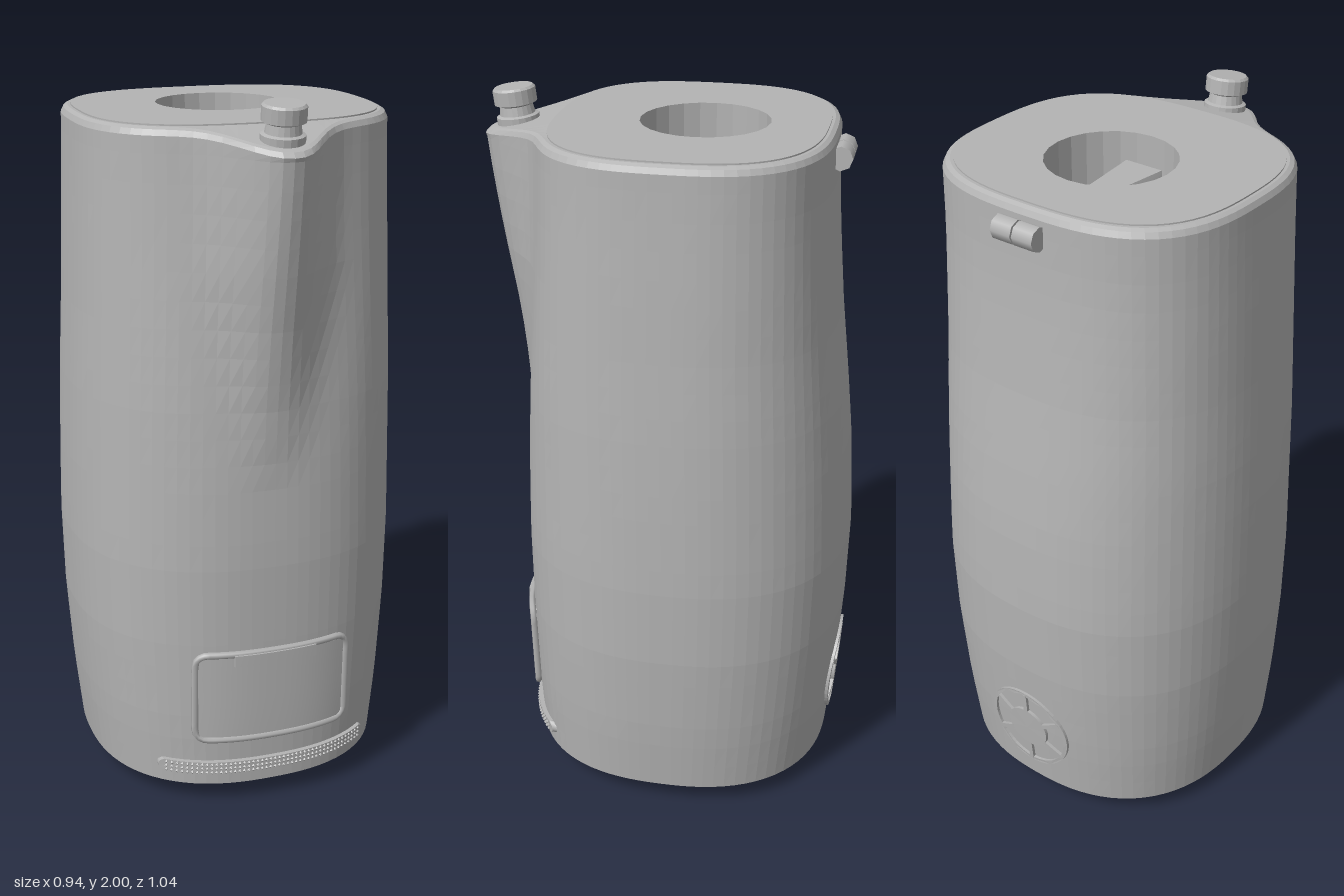
import * as THREE from 'three';

// Body sections: height, half width, front z, back z, spout reach
const KEYS = [
  [0.06, 0.43, 0.40, -0.475, 0], [0.25, 0.45, 0.41, -0.495, 0],
  [0.5, 0.467, 0.415, -0.513, 0], [0.75, 0.472, 0.417, -0.52, 0],
  [1.0, 0.467, 0.41, -0.508, 0], [1.2, 0.46, 0.397, -0.488, 0.026],
  [1.4, 0.45, 0.38, -0.465, 0.07], [1.6, 0.442, 0.362, -0.448, 0.123],
  [1.75, 0.435, 0.352, -0.438, 0.156], [1.89, 0.43, 0.345, -0.435, 0.18],
];
const SIDES = 88;
const { lerp, clamp } = THREE.MathUtils;

function section(y) {
  let i = 0;
  while (i < KEYS.length - 2 && y > KEYS[i + 1][0]) i++;
  const p = KEYS[i], q = KEYS[i + 1], t = clamp((y - p[0]) / (q[0] - p[0]), 0, 1);
  const [, a, front, back, spout] = p.map((v, k) => lerp(v, q[k], t));
  const h = clamp((y - 1) / 0.89, 0, 1);
  return { a, b: (front - back) / 2, c: (front + back) / 2, n: lerp(2.4, 2.8, h), spout, w: lerp(0.075, 0.13, Math.min(1, h * 1.6)) };
}

// Rounded-square loop with the spout pushed forward; inset shrinks it
function loop(y, inset = 0, spoutScale = 1, dip = 0) {
  const s = section(Math.min(y, 1.89)), pts = [];
  const a = s.a - inset, b = s.b - inset;
  for (let j = 0; j < SIDES; j++) {
    const t = (j / SIDES) * Math.PI * 2, cx = Math.cos(t), sz = Math.sin(t);
    const r = (Math.abs(cx / a) ** s.n + Math.abs(sz / b) ** s.n) ** (-1 / s.n);
    const x = r * cx, g = sz > 0 ? Math.exp(-(Math.abs(x / s.w) ** 2.3)) : 0;
    pts.push(new THREE.Vector3(x, y - dip * g, s.c + r * sz + s.spout * spoutScale * g));
  }
  return pts;
}

// Faceted skin through a stack of loops
function skin(loops) {
  const pos = [];
  const add = (...v) => v.forEach((p) => pos.push(p.x, p.y, p.z));
  for (let i = 0; i < loops.length - 1; i++) {
    for (let j = 0; j < SIDES; j++) {
      const k = (j + 1) % SIDES, l = loops[i], u = loops[i + 1];
      add(l[j], u[j], l[k], l[k], u[j], u[k]);
    }
  }
  const geo = new THREE.BufferGeometry();
  geo.setAttribute('position', new THREE.Float32BufferAttribute(pos, 3));
  geo.computeVertexNormals();
  return geo;
}

function surfaceZ(x, y, side) {
  const s = section(y);
  return s.c + side * s.b * (1 - Math.abs(x / s.a) ** s.n) ** (1 / s.n);
}

// Bend a flat part (z = height above the skin) onto the front (1) or back (-1)
function conform(geo, side) {
  const p = geo.attributes.position;
  for (let i = 0; i < p.count; i++) {
    const x = p.getX(i) * side, y = p.getY(i);
    p.setXYZ(i, x, y, surfaceZ(x, y, side) + side * p.getZ(i));
  }
  geo.computeVertexNormals();
  return geo;
}

function roundedRect(w, h, r) {
  const s = new THREE.Shape(), x = w / 2, y = h / 2;
  s.absarc(x - r, y - r, r, 0, Math.PI / 2);
  s.absarc(-x + r, y - r, r, Math.PI / 2, Math.PI);
  s.absarc(-x + r, -y + r, r, Math.PI, Math.PI * 1.5);
  s.absarc(x - r, -y + r, r, Math.PI * 1.5, Math.PI * 2);
  s.closePath();
  return s;
}

const extrude = (shape, depth, curveSegments = 8) =>
  new THREE.ExtrudeGeometry(shape, { depth, bevelEnabled: false, curveSegments });

export function createModel() {
  const model = new THREE.Group();
  const grey = new THREE.MeshStandardMaterial({ color: 0xb4b4b4, side: THREE.DoubleSide });
  grey.name = 'matte grey';
  const add = (name, geo, x = 0, y = 0, z = 0) => {
    const mesh = new THREE.Mesh(geo, grey);
    mesh.name = name;
    mesh.position.set(x, y, z);
    model.add(mesh);
    return mesh;
  };

  // Body with bottom cap, spout and rolled rim
  const centre = Array.from({ length: SIDES }, () => new THREE.Vector3(0, 0.06, -0.04));
  const loops = [centre, loop(0.06)];
  for (let i = 1; i <= 24; i++) loops.push(loop(0.06 + (1.8 * i) / 24));
  const lidEdge = loop(1.926, 0.026, 0);
  loops.push(loop(1.905, 0, 1, 0.035), loop(1.92, 0.007, 0.97, 0.037), loop(1.926, 0.018, 0.93, 0.037), lidEdge);
  add('body', skin(loops));

  // Lid with round opening
  const lid = new THREE.Shape(lidEdge.map((p) => new THREE.Vector2(p.x, -p.z)));
  const hole = new THREE.Path();
  hole.absarc(0, 0.08, 0.175, 0, Math.PI * 2, true);
  lid.holes.push(hole);
  add('lid', extrude(lid, 0.02, 12).rotateX(-Math.PI / 2), 0, 1.91, 0);

  // Recess and turning grip inside the lid
  const well = new THREE.LatheGeometry([[0.175, 1.925], [0.175, 1.77], [0, 1.77]].map((p) => new THREE.Vector2(...p)), 24).toNonIndexed();
  well.computeVertexNormals();
  add('lidRecess', well, 0, 0, -0.08);
  const grip = new THREE.BoxGeometry(0.13, 0.08, 0.32);
  const gp = grip.attributes.position;
  for (let i = 0; i < gp.count; i++) {
    if (gp.getY(i) > 0) gp.setX(i, gp.getX(i) * (gp.getZ(i) < 0 ? 0.35 : 0.9));
  }
  grip.computeVertexNormals();
  add('lidGrip', grip, 0.015, 1.81, -0.08);

  // Knob on the spout, leaning forward
  const knobProfile = [[0, -0.03], [0.058, -0.03], [0.058, 0.022], [0.048, 0.026], [0.044, 0.05], [0.058, 0.056], [0.058, 0.094], [0.052, 0.1], [0, 0.1]];
  const knobGeo = new THREE.LatheGeometry(knobProfile.map((p) => new THREE.Vector2(...p)), 20).toNonIndexed();
  knobGeo.computeVertexNormals();
  add('spoutKnob', knobGeo, 0, 1.895, 0.433).rotation.x = 0.12;

  // Hinge in two halves
  for (const s of [-1, 1]) {
    add('hinge', new THREE.CylinderGeometry(0.033, 0.033, 0.063, 8).toNonIndexed().rotateZ(Math.PI / 2), s * 0.034, 1.862, -0.447);
  }

  // Front panel: plate, rounded frame and top tab
  const plate = extrude(roundedRect(0.45, 0.27, 0.035), 0.03);
  add('panelSides', conform(plate.translate(0, 0.35, -0.018), 1));
  add('panelFace', conform(new THREE.PlaneGeometry(0.43, 0.25, 20, 4).translate(0, 0.35, 0.014), 1));
  const framePath = new THREE.CatmullRomCurve3(
    roundedRect(0.45, 0.27, 0.035).getSpacedPoints(72).slice(0, -1)
      .map((p) => new THREE.Vector3(p.x, p.y + 0.35, surfaceZ(p.x, p.y + 0.35, 1) + 0.01)), true);
  add('panelFrame', new THREE.TubeGeometry(framePath, 96, 0.01, 6, true));
  add('panelTab', conform(new THREE.BoxGeometry(0.24, 0.035, 0.02, 10, 1, 1).translate(0, 0.468, 0.014), 1));

  // Grille strip with a studded surface
  add('grilleStrip', conform(new THREE.BoxGeometry(0.6, 0.04, 0.02, 30, 1, 1).translate(0, 0.12, 0.004), 1));
  for (const s of [-1, 1]) {
    add('grilleEnd', conform(new THREE.CylinderGeometry(0.02, 0.02, 0.02, 12).rotateX(Math.PI / 2).translate(s * 0.295, 0.12, 0.004), 1));
  }
  for (let row = 0; row < 3; row++) {
    for (let i = 0; i < 46; i++) {
      const x = -0.295 + i * 0.0131, y = 0.107 + row * 0.013;
      add('grilleStud', new THREE.OctahedronGeometry(0.006), x, y, surfaceZ(x, y, 1) + 0.014);
    }
  }

  // Round vent at the back: ring, hub and spokes
  const ring = new THREE.Shape().absarc(0, 0, 0.14, 0, Math.PI * 2);
  const ringHole = new THREE.Path();
  ringHole.absarc(0, 0, 0.128, 0, Math.PI * 2, true);
  ring.holes.push(ringHole);
  add('ventRing', conform(extrude(ring, 0.018, 24).translate(0, 0.27, -0.01), -1));
  add('ventHub', conform(new THREE.CylinderGeometry(0.07, 0.07, 0.018, 24).rotateX(Math.PI / 2).translate(0, 0.27, 0), -1));
  for (let i = 0; i < 6; i++) {
    const spoke = new THREE.BoxGeometry(0.066, 0.014, 0.018, 4, 1, 1).translate(0.1, 0, 0);
    add('ventSpoke', conform(spoke.rotateZ((i * Math.PI) / 3 + Math.PI / 6).translate(0, 0.27, 0), -1));
  }

  // Base block with a notch at the back
  const base = new THREE.Shape();
  base.moveTo(-0.05, 0.27);
  base.lineTo(-0.03, 0.22).lineTo(0.03, 0.22).lineTo(0.05, 0.27).lineTo(0.25, 0.27);
  base.quadraticCurveTo(0.31, 0.27, 0.31, 0.21).lineTo(0.31, -0.14);
  base.quadraticCurveTo(0.31, -0.2, 0.25, -0.2).lineTo(-0.25, -0.2);
  base.quadraticCurveTo(-0.31, -0.2, -0.31, -0.14).lineTo(-0.31, 0.21);
  base.quadraticCurveTo(-0.31, 0.27, -0.25, 0.27).lineTo(-0.05, 0.27);
  add('base', extrude(base, 0.062).rotateX(-Math.PI / 2));

  // Screws and slot under the body
  for (const [x, z] of [[0.17, -0.37], [0.365, -0.02]]) {
    for (const s of [-1, 1]) add('screw', new THREE.CylinderGeometry(0.02, 0.02, 0.008, 12), s * x, 0.058, z);
  }
  add('bottomSlot', new THREE.BoxGeometry(0.15, 0.008, 0.04), 0, 0.058, 0.3);

  return model;
}
